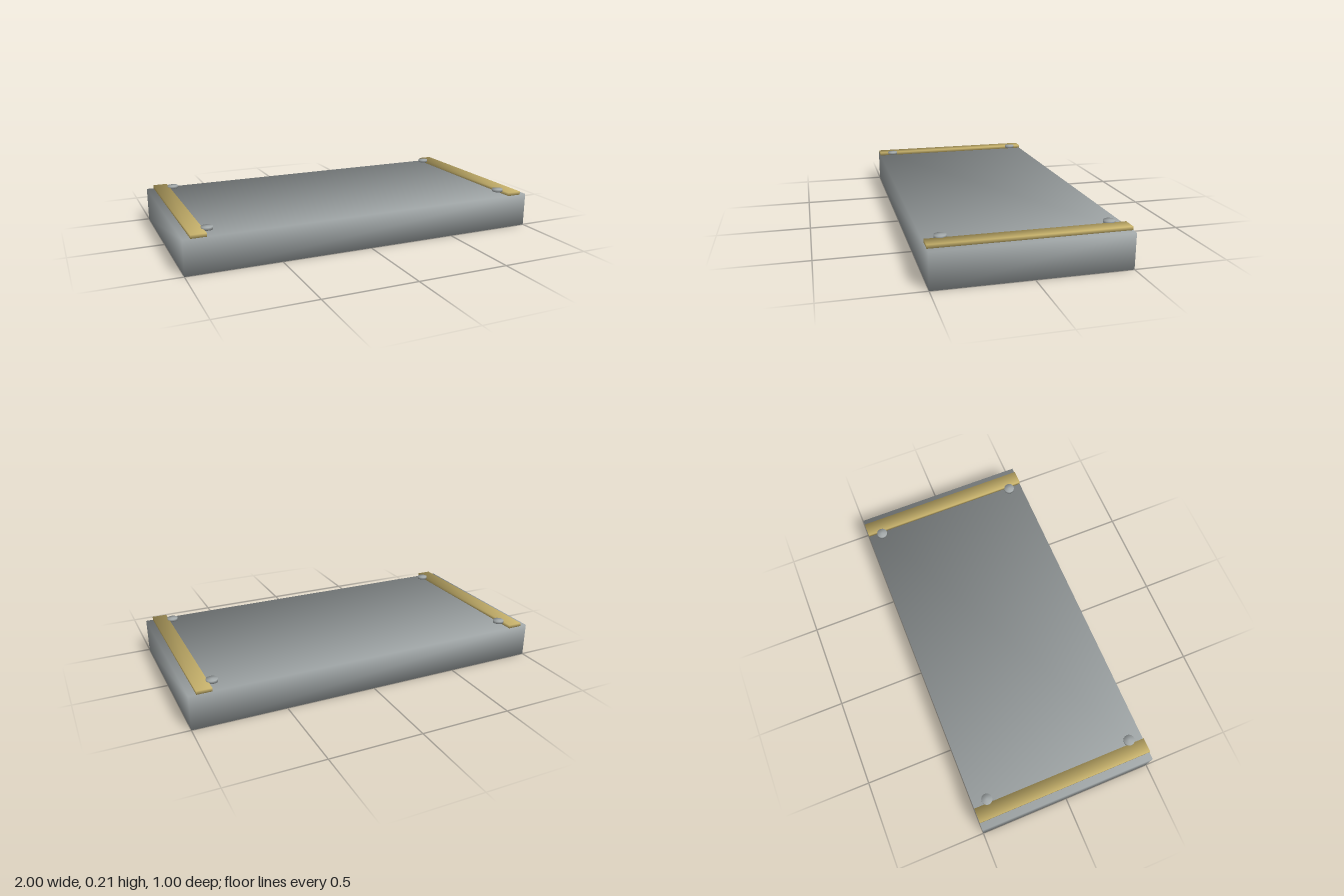
import * as THREE from 'three';
import { mergeVertices } from 'three/addons/utils/BufferGeometryUtils.js';

const steel = new THREE.MeshStandardMaterial({ color: 0xa3a9aa });
steel.name = 'steel grey';
const brass = new THREE.MeshStandardMaterial({ color: 0xcdb76f });
brass.name = 'pale brass';

// Weld the corners and average the normals of the faces meeting there,
// so shading flows softly over every edge.
function soften(geometry) {
  const pos = geometry.attributes.position;
  const nor = geometry.attributes.normal;
  const sums = new Map();
  const key = (i) => [pos.getX(i), pos.getY(i), pos.getZ(i)].map((v) => Math.round(v * 1e5)).join();
  for (let i = 0; i < pos.count; i++) {
    const n = new THREE.Vector3().fromBufferAttribute(nor, i);
    const list = sums.get(key(i)) ?? [];
    if (!list.some((m) => m.distanceTo(n) < 0.01)) list.push(n);
    sums.set(key(i), list);
  }
  for (let i = 0; i < pos.count; i++) {
    const n = sums.get(key(i)).reduce((a, m) => a.add(m), new THREE.Vector3()).normalize();
    nor.setXYZ(i, n.x, n.y, n.z);
  }
  geometry.deleteAttribute('uv');
  return mergeVertices(geometry);
}

export function createModel() {
  const group = new THREE.Group();
  const add = (name, geometry, material, x, y, z) => {
    const mesh = new THREE.Mesh(geometry, material);
    mesh.name = name;
    mesh.position.set(x, y, z);
    group.add(mesh);
  };

  // Main slab
  add('slab', soften(new THREE.BoxGeometry(2, 0.187, 1)), steel, 0, 0.0935, 0);

  // A brass strip near each end, with two flat studs on its inner side
  const strip = soften(new THREE.BoxGeometry(0.08, 0.019, 1));
  const stud = soften(new THREE.CylinderGeometry(0.03, 0.03, 0.015, 16));
  for (const side of [-1, 1]) {
    const label = side > 0 ? 'left' : 'right';
    add(label + 'Strip', strip, brass, side * 0.92, 0.1965, 0);
    for (const end of [-1, 1]) {
      add(label + (end > 0 ? 'Front' : 'Back') + 'Stud', stud, steel, side * 0.86, 0.2065, end * 0.42);
    }
  }
  return group;
}
